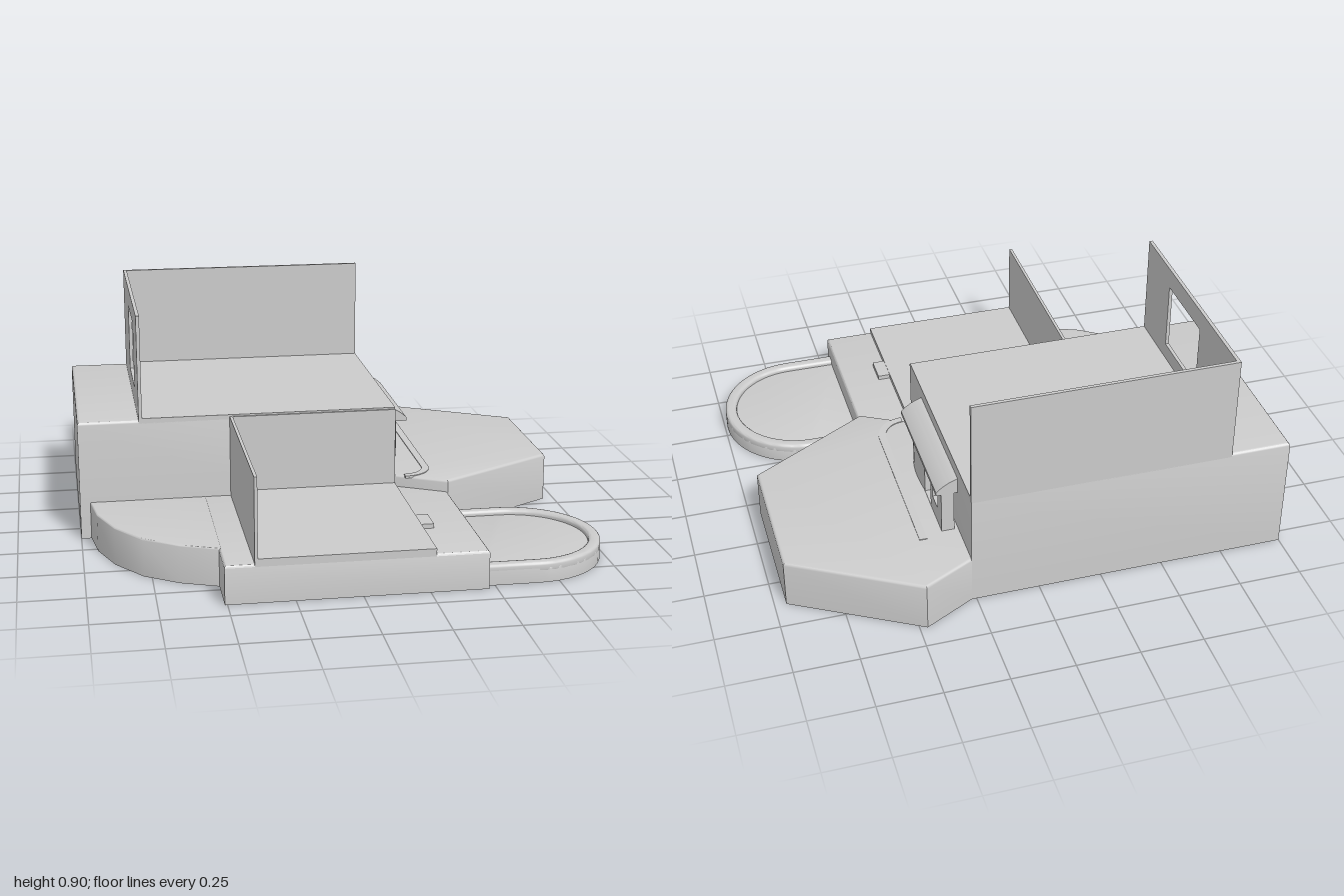
import * as THREE from 'three';
import { toCreasedNormals } from 'three/addons/utils/BufferGeometryUtils.js';

const material = new THREE.MeshStandardMaterial({ color: 0xcccccc, side: THREE.DoubleSide });

// Plan outline given as [x, z] pairs
const plan = (points) => new THREE.Shape(points.map(([x, z]) => new THREE.Vector2(x, -z)));

// Rounded-top shell raised from a plan, open underneath
function shellGeometry(shape, height, r) {
  const geo = new THREE.ExtrudeGeometry(shape, {
    depth: height - r, bevelThickness: r, bevelSize: r, bevelOffset: -r, bevelSegments: 3, curveSegments: 12,
  });
  const src = geo.toNonIndexed ? (geo.index ? geo.toNonIndexed() : geo) : geo;
  const p = src.attributes.position;
  const kept = [];
  for (let i = 0; i < p.count; i += 3) {
    if (Math.max(p.getZ(i), p.getZ(i + 1), p.getZ(i + 2)) < 1e-5) continue;
    for (let k = i; k < i + 3; k++) kept.push(p.getX(k), p.getY(k), p.getZ(k));
  }
  const out = new THREE.BufferGeometry();
  out.setAttribute('position', new THREE.Float32BufferAttribute(kept, 3));
  out.rotateX(-Math.PI / 2);
  return toCreasedNormals(out, 0.6);
}

// Half-stadium plan reaching +x, used for the pool
function stadium(target, x0, cx, cz, r) {
  target.moveTo(x0, -cz - r);
  target.lineTo(cx, -cz - r);
  target.absarc(cx, -cz, r, -Math.PI / 2, Math.PI / 2, false);
  target.lineTo(x0, -cz + r);
  target.closePath();
  return target;
}

export function createModel() {
  const model = new THREE.Group();
  const add = (name, geo) => {
    const mesh = new THREE.Mesh(geo, material);
    mesh.name = name;
    model.add(mesh);
    return mesh;
  };
  // Box from its minimum and maximum corners
  const box = (name, [x0, y0, z0], [x1, y1, z1]) => {
    const geo = new THREE.BoxGeometry(x1 - x0, y1 - y0, z1 - z0);
    geo.translate((x0 + x1) / 2, (y0 + y1) / 2, (z0 + z1) / 2);
    return add(name, geo);
  };

  // Main block and the upper floor
  add('mainBlock', shellGeometry(plan([[-1, 0.12], [0.27, 0.12], [0.27, -0.8], [-1, -0.8]]), 0.48, 0.012));
  box('upperFloor', [-0.76, 0.465, -0.8], [0.27, 0.487, 0.12]);
  box('upperBackWall', [-0.76, 0.48, -0.8], [0.27, 0.9, -0.786]);

  // Upper side wall with a window opening
  const sideWall = plan([[-0.12, 0], [0.8, 0], [0.8, -0.42], [-0.12, -0.42]]);
  sideWall.holes.push(plan([[0.12, -0.07], [0.44, -0.07], [0.44, -0.34], [0.12, -0.34]]));
  const sideGeo = new THREE.ExtrudeGeometry(sideWall, { depth: 0.014, bevelEnabled: false });
  sideGeo.rotateY(Math.PI / 2);
  sideGeo.translate(-0.76, 0.48, 0);
  add('upperWindowWall', sideGeo);

  // Front room: plinth, thin floor, door sill and two walls
  add('frontPlinth', shellGeometry(plan([[-0.51, 0.9], [0.47, 0.9], [0.47, 0.1], [-0.51, 0.1]]), 0.15, 0.01));
  box('frontFloor', [-0.4, 0.14, 0.12], [0.27, 0.17, 0.9]);
  box('doorSill', [0.26, 0.14, 0.52], [0.32, 0.168, 0.63]);
  box('frontSideWall', [-0.4, 0.15, 0.12], [-0.388, 0.48, 0.9]);
  box('frontBackWall', [-0.4, 0.15, 0.115], [0.27, 0.48, 0.128]);

  // Faceted curved terrace beside the front room
  add('curvedTerrace', shellGeometry(plan([
    [-0.96, 0], [-0.96, 0.12], [-0.94, 0.27], [-0.88, 0.43], [-0.78, 0.57], [-0.65, 0.66], [-0.5, 0.72], [-0.5, 0],
  ]), 0.15, 0.006));

  // Hexagonal terrace, cut off at the main block
  add('hexTerrace', shellGeometry(plan([
    [0.25, 0.1], [0.47, 0.22], [0.955, -0.062], [0.955, -0.63], [0.47, -0.905], [0.25, -0.79],
  ]), 0.2, 0.012));

  // Flush path edge curving back to the main block
  const path = new THREE.Shape();
  path.moveTo(0.43, 0.64);
  path.lineTo(0.43, -0.03);
  path.absarc(0.31, -0.03, 0.12, 0, -Math.PI / 2, true);
  path.lineTo(0.31, -0.12);
  path.absarc(0.31, -0.03, 0.09, -Math.PI / 2, 0, false);
  path.lineTo(0.4, 0.64);
  const pathGeo = new THREE.ExtrudeGeometry(path, { depth: 0.01, bevelEnabled: false });
  pathGeo.rotateX(-Math.PI / 2);
  pathGeo.translate(0, 0.193, 0);
  add('pathEdge', pathGeo);

  // Sloping canopy over the shopfront
  const canopy = new THREE.Shape();
  canopy.moveTo(0.26, 0.44);
  canopy.lineTo(0.27, 0.44);
  canopy.quadraticCurveTo(0.32, 0.425, 0.355, 0.39);
  canopy.lineTo(0.355, 0.375);
  canopy.lineTo(0.26, 0.375);
  const canopyGeo = new THREE.ExtrudeGeometry(canopy, { depth: 0.55, bevelEnabled: false });
  canopyGeo.translate(0, 0, -0.61);
  add('canopy', toCreasedNormals(canopyGeo, 0.6));

  // Curved bay wall beneath the canopy
  const bay = new THREE.Shape();
  bay.moveTo(0.26, 0.06);
  bay.lineTo(0.28, 0.06);
  bay.quadraticCurveTo(0.36, 0.13, 0.335, 0.34);
  bay.lineTo(0.26, 0.34);
  const bayGeo = new THREE.ExtrudeGeometry(bay, { depth: 0.19, bevelEnabled: false, curveSegments: 10 });
  bayGeo.rotateX(-Math.PI / 2);
  bayGeo.translate(0, 0.19, 0);
  add('curvedBay', toCreasedNormals(bayGeo, 0.6));

  // Entrance wall with door and window openings
  const entrance = plan([[0.34, 0], [0.61, 0], [0.61, -0.18], [0.34, -0.18]]);
  entrance.holes.push(plan([[0.355, -0.005], [0.445, -0.005], [0.445, -0.13], [0.355, -0.13]]));
  entrance.holes.push(plan([[0.475, -0.07], [0.55, -0.07], [0.55, -0.13], [0.475, -0.13]]));
  const entranceGeo = new THREE.ExtrudeGeometry(entrance, { depth: 0.05, bevelEnabled: false });
  entranceGeo.rotateY(Math.PI / 2);
  entranceGeo.translate(0.285, 0.198, 0);
  add('entranceWall', entranceGeo);

  // Pool rim and its slightly sunken surface
  const rim = stadium(new THREE.Shape(), 0.45, 0.67, 0.55, 0.32);
  add('poolBody', shellGeometry(rim, 0.06, 0.003));
  const ring = stadium(new THREE.Shape(), 0.45, 0.67, 0.55, 0.308);
  ring.holes.push(stadium(new THREE.Path(), 0.455, 0.67, 0.55, 0.285));
  const ringGeo = new THREE.ExtrudeGeometry(ring, {
    depth: 0.018, bevelThickness: 0.012, bevelSize: 0.012, bevelSegments: 3, curveSegments: 16,
  });
  ringGeo.rotateX(-Math.PI / 2);
  ringGeo.translate(0, 0.05, 0);
  add('poolRim', toCreasedNormals(ringGeo, 0.6));
  return model;
}
